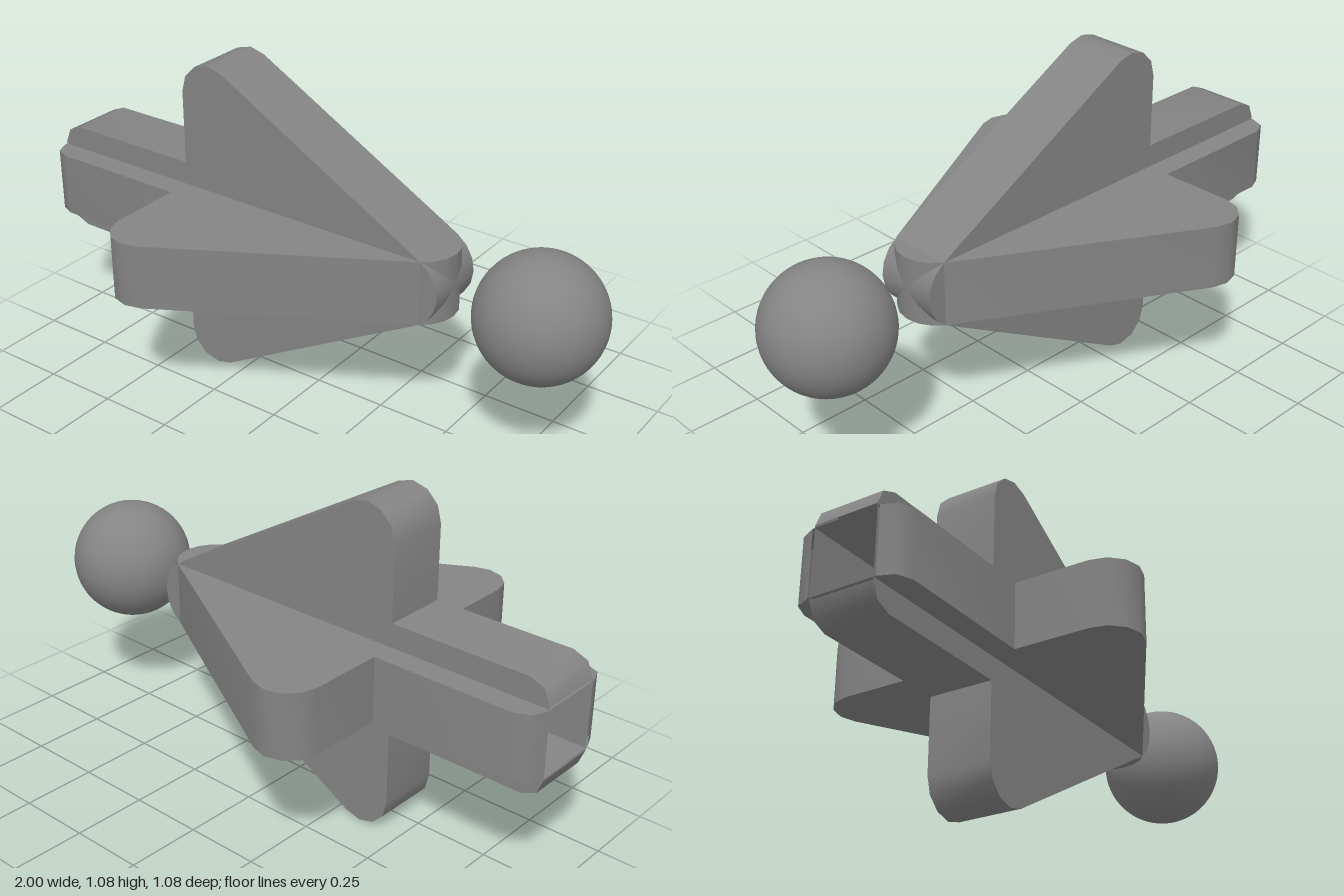
import * as THREE from 'three';
import { toCreasedNormals } from 'three/addons/utils/BufferGeometryUtils.js';

const MID = 0.541;  // height of the long axis
const HALF = 0.108; // half thickness of each plate
const GREY = 0x848484;

// Points along an arc, angles in degrees
function arc(cx, cy, r, from, to, steps) {
  return Array.from({ length: steps + 1 }, (_, i) => {
    const a = THREE.MathUtils.degToRad(from + (to - from) * i / steps);
    return new THREE.Vector2(cx + r * Math.cos(a), cy + r * Math.sin(a));
  });
}

// Arrow plate: rounded stem, swept fins and rounded tip; the stem end is open
function plateGeometry() {
  const upper = [
    ...arc(0.38, 0, 0.127, 0, 60, 3),
    ...arc(-0.348, 0.433, 0.107, 60, 180, 4),
    new THREE.Vector2(-0.455, 0.186),
    ...arc(-0.93, 0.116, 0.07, 90, 180, 2),
  ];
  const lower = upper.slice(1).reverse().map(p => new THREE.Vector2(p.x, -p.y));
  const solid = new THREE.ExtrudeGeometry(new THREE.Shape([...upper, ...lower]), {
    depth: HALF * 2, bevelEnabled: false,
  });
  solid.translate(0, 0, -HALF);

  // Drop the wall at the stem end
  const p = solid.attributes.position;
  const kept = [];
  for (let i = 0; i < p.count; i += 3) {
    if ([0, 1, 2].every(k => p.getX(i + k) < -0.999)) continue;
    for (let k = 0; k < 3; k++) kept.push(p.getX(i + k), p.getY(i + k), p.getZ(i + k));
  }
  const open = new THREE.BufferGeometry();
  open.setAttribute('position', new THREE.Float32BufferAttribute(kept, 3));
  return toCreasedNormals(open, 0.8);
}

export function createModel() {
  const model = new THREE.Group();
  model.name = 'crossedArrowWithBall';
  const material = new THREE.MeshStandardMaterial({ color: GREY, side: THREE.DoubleSide });

  // Two identical plates crossing at right angles
  const geometry = plateGeometry();
  [['verticalPlate', 0], ['horizontalPlate', Math.PI / 2]].forEach(([name, turn]) => {
    const plate = new THREE.Mesh(geometry, material);
    plate.name = name;
    plate.position.y = MID;
    plate.rotation.x = turn;
    model.add(plate);
  });

  // Ball in front of the tip
  const ball = new THREE.Mesh(
    new THREE.SphereGeometry(0.203, 48, 32),
    new THREE.MeshStandardMaterial({ color: GREY })
  );
  ball.name = 'ball';
  ball.position.set(0.797, 0.533, 0);
  model.add(ball);

  return model;
}
